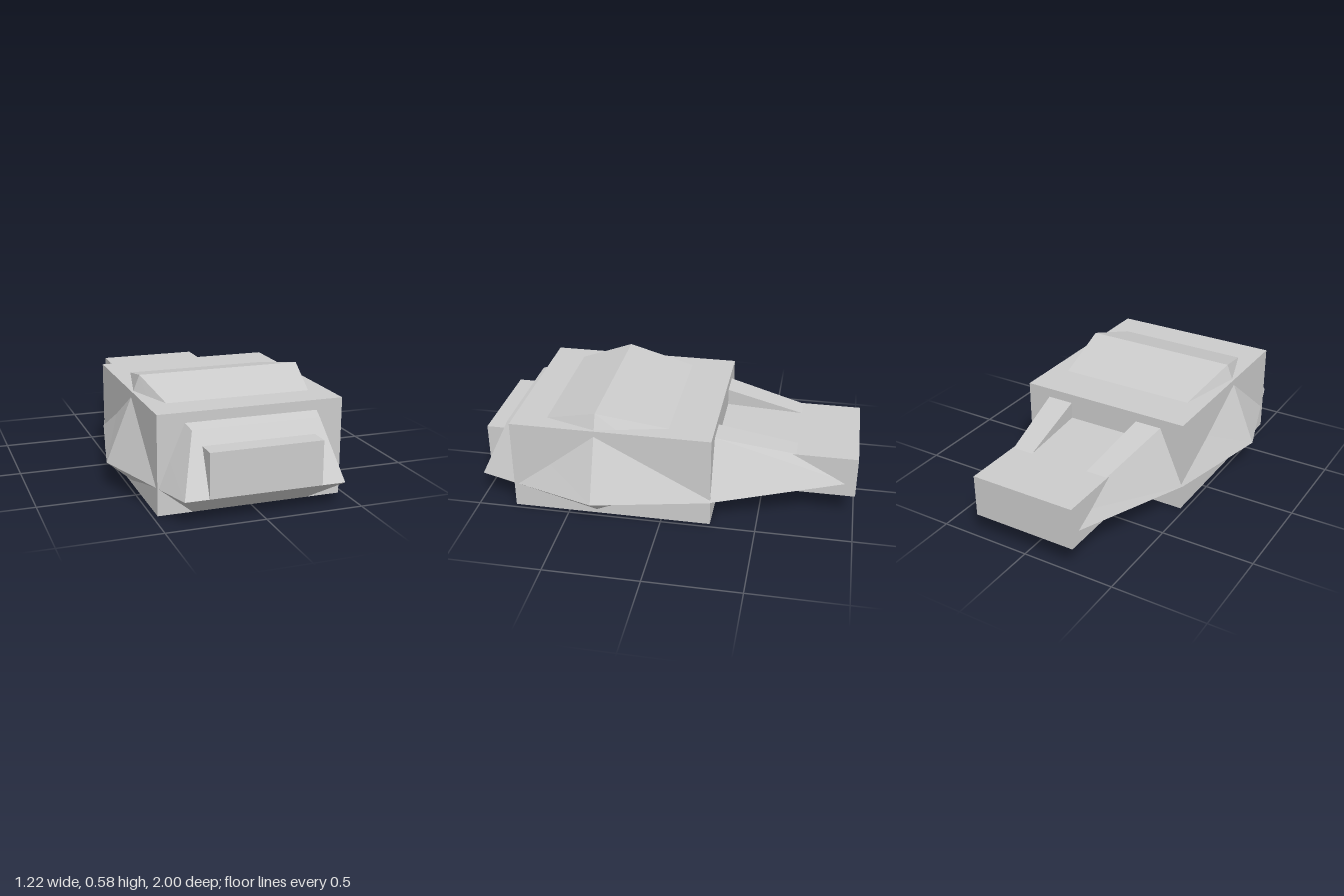
import * as THREE from 'three';

const material = new THREE.MeshStandardMaterial({ color: 0xcccccc, flatShading: true });

// Skins cross-sections listed from front to back, each counter-clockwise seen from +z
function loft(rings) {
  const pos = [];
  const n = rings[0].length;
  const tri = (a, b, c) => pos.push(...a, ...b, ...c);
  for (let r = 0; r < rings.length - 1; r++) {
    const a = rings[r], b = rings[r + 1];
    for (let i = 0; i < n; i++) {
      const j = (i + 1) % n;
      tri(a[i], b[i], a[j]);
      tri(a[j], b[i], b[j]);
    }
  }
  // End caps fan out from a waist corner so the nose can fold along the waist
  const first = rings[0], last = rings[rings.length - 1];
  for (let k = 1; k < n - 1; k++) {
    const i = (2 + k) % n, j = (3 + k) % n;
    tri(first[2], first[i], first[j]);
    tri(last[2], last[j], last[i]);
  }
  const geo = new THREE.BufferGeometry();
  geo.setAttribute('position', new THREE.Float32BufferAttribute(pos, 3));
  geo.computeVertexNormals();
  return geo;
}

const flip = ([x, y, z]) => [-x, y, z];

// Six-sided section from its bottom, waist and top corners on the left side
const hullRing = (b, w, t) => [flip(b), b, w, t, flip(t), flip(w)];

export function createModel() {
  const group = new THREE.Group();
  const add = (name, geo) => {
    const mesh = new THREE.Mesh(geo, material);
    mesh.name = name;
    group.add(mesh);
    return mesh;
  };

  // Wide central block
  add('mainBlock', new THREE.BoxGeometry(0.95, 0.5, 1.06)).position.set(0, 0.25, 0.27);

  // Narrow beam running the full length
  add('coreBeam', new THREE.BoxGeometry(0.57, 0.225, 2)).position.set(0, 0.2475, 0);

  // Faceted hull: nose, widest section, rear
  add('hull', loft([
    hullRing([0.30, 0, 0.8], [0.405, 0.135, 1], [0.325, 0.43, 0.865]),
    hullRing([0.45, 0, 0.35], [0.61, 0.135, 0.35], [0.43, 0.58, 0.35]),
    hullRing([0.30, 0.135, -0.26], [0.48, 0.135, -0.26], [0.345, 0.45, -0.26]),
  ]));

  // Pair of tapering fins behind the hull
  const fin = [
    [[0.2, 0.137, -0.26], [0.3, 0.137, -0.26], [0.48, 0.137, -0.26], [0.345, 0.45, -0.26], [0.2, 0.45, -0.26]],
    [[0.14, 0.2, -0.97], [0.2, 0.2, -0.97], [0.277, 0.21, -0.97], [0.235, 0.298, -0.97], [0.14, 0.298, -0.97]],
  ];
  add('leftFin', loft(fin));
  add('rightFin', loft(fin.map((ring) => ring.map(flip).reverse())));

  return group;
}
